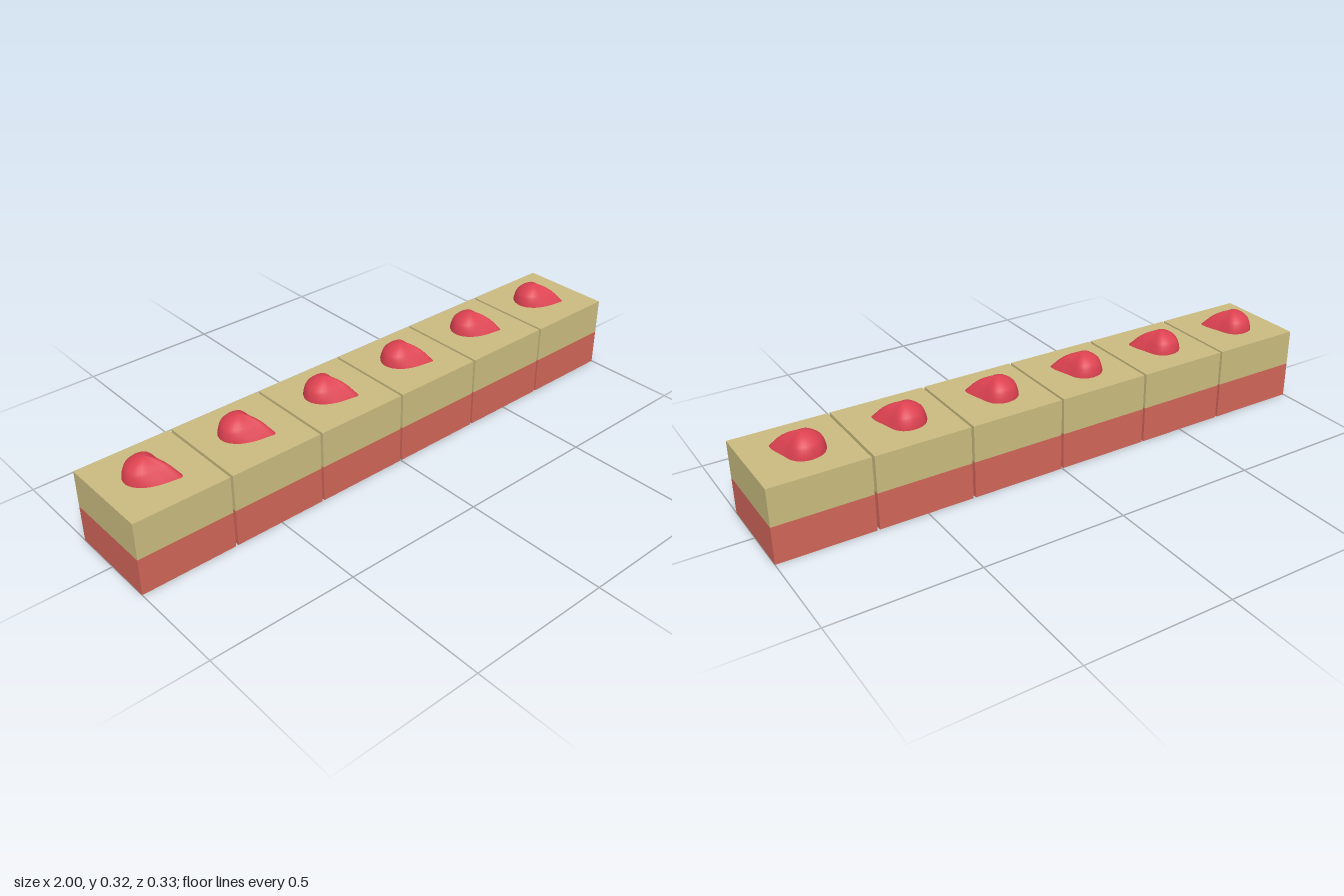
import * as THREE from 'three';

const SIZE = 0.326, LAYER = 0.128, PITCH = (2 - SIZE) / 5;

// Berry: plan outline (x, z), round at the back and pointed at the front left
const OUTLINE = [
  [-0.011, -0.082], [0.02, -0.074], [0.04, -0.053], [0.052, -0.012], [0.067, 0.05],
  [0.062, 0.07], [0.035, 0.068], [-0.016, 0.059], [-0.057, 0.038], [-0.08, 0.005],
  [-0.08, -0.03], [-0.052, -0.07],
];
// Rows: height fraction, outline scale at the blunt end, scale at the tip
const RINGS = [
  [-0.2, 1, 1.08], [0, 1, 1], [0.22, 0.96, 0.86], [0.42, 0.9, 0.74], [0.58, 0.82, 0.62],
  [0.75, 0.64, 0.45], [0.88, 0.44, 0.28], [0.97, 0.2, 0.12],
];

function berryGeometry() {
  const n = 32, height = 0.067, px = -0.012, pz = -0.012;
  const curve = new THREE.CatmullRomCurve3(
    OUTLINE.map(([x, z]) => new THREE.Vector3(x, 0, z)), true);
  const rim = curve.getPoints(n).slice(0, n);
  const pos = [], index = [];
  for (const [h, blunt, tip] of RINGS) {
    for (const p of rim) {
      const dx = p.x - px, dz = p.z - pz;
      const along = (dx + dz) / (Math.SQRT2 * Math.hypot(dx, dz));
      const s = THREE.MathUtils.lerp(blunt, tip, THREE.MathUtils.smoothstep(along, -0.3, 1));
      pos.push(px + dx * s, h * height, pz + dz * s);
    }
  }
  const top = pos.length / 3;
  pos.push(px, height, pz);
  for (let r = 0; r < RINGS.length; r++) {
    for (let i = 0; i < n; i++) {
      const a = r * n + i, b = r * n + (i + 1) % n;
      if (r === RINGS.length - 1) index.push(a, top, b);
      else index.push(a, a + n, b, b, a + n, b + n);
    }
  }
  const g = new THREE.BufferGeometry();
  g.setAttribute('position', new THREE.Float32BufferAttribute(pos, 3));
  g.setIndex(index);
  g.computeVertexNormals();
  return g;
}

export function createModel() {
  const model = new THREE.Group();
  model.name = 'cakeRow';
  const mat = (color) => new THREE.MeshStandardMaterial({ color });
  const spongeMat = mat(0xd06558), creamMat = mat(0xc8ba7e), berryMat = mat(0xdc4150);
  berryMat.side = THREE.DoubleSide;
  const layer = new THREE.BoxGeometry(SIZE, LAYER, SIZE);
  const berry = berryGeometry();

  // Six square cakes side by side, each with two layers and a berry
  for (let i = 0; i < 6; i++) {
    const cake = new THREE.Group();
    cake.name = `cake${i + 1}`;
    cake.position.x = (i - 2.5) * PITCH;
    const add = (name, geometry, material, y) => {
      const m = new THREE.Mesh(geometry, material);
      m.name = name;
      m.position.y = y;
      cake.add(m);
    };
    add('bottomLayer', layer, spongeMat, LAYER / 2);
    add('topLayer', layer, creamMat, LAYER * 1.5);
    add('berry', berry, berryMat, LAYER * 2);
    model.add(cake);
  }
  return model;
}
